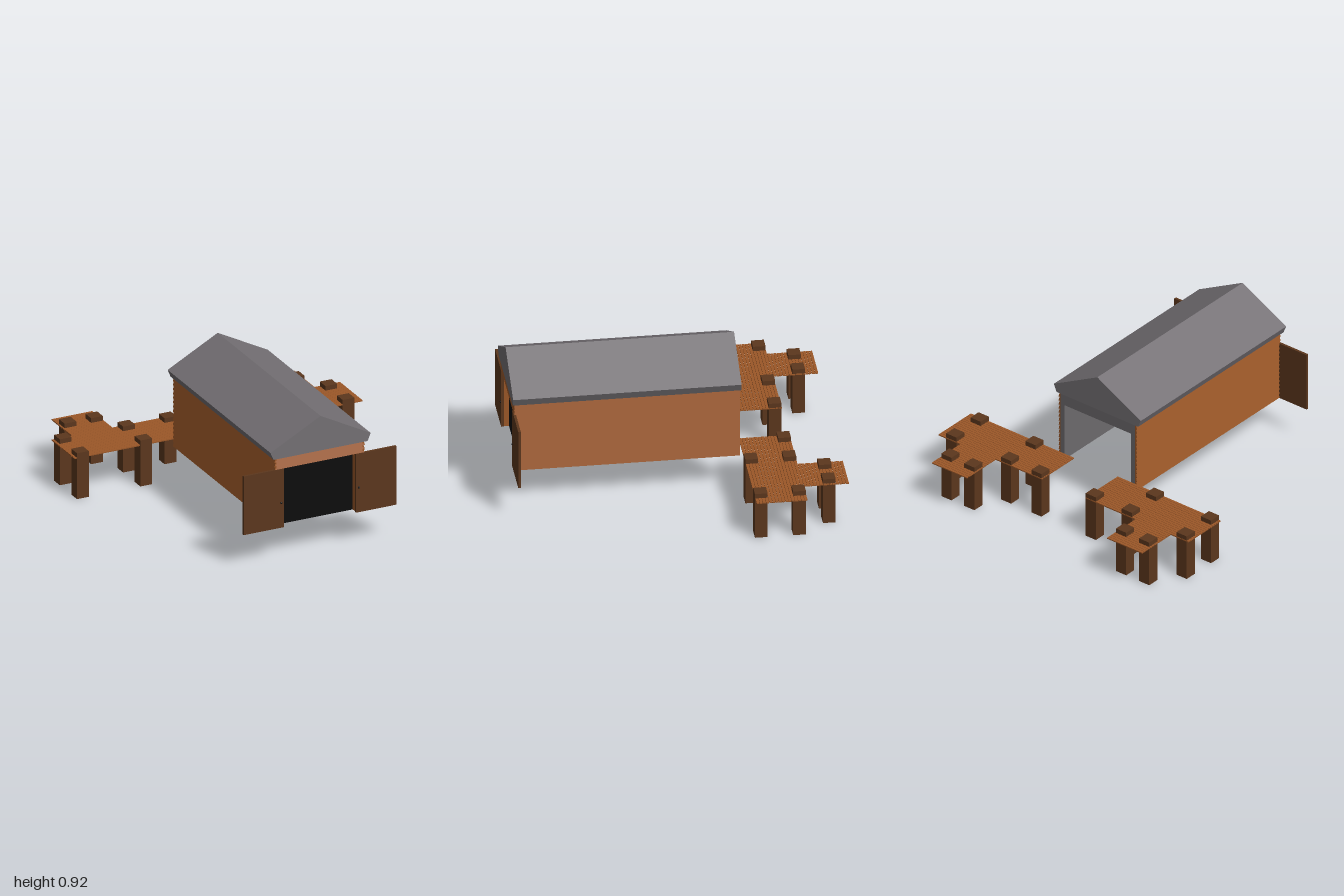
import * as THREE from 'three';

const mat = (color) => new THREE.MeshStandardMaterial({ color, flatShading: true });
const plankWood = mat(0x9c5828);
const darkWood = mat(0x5c371d);
const roofGrey = mat(0x747074);
const innerGrey = mat(0x6c6a6c);
const black = mat(0x0b0b0b);

// Box given by its minimum and maximum corners
function box(name, material, x0, x1, y0, y1, z0, z1) {
  const mesh = new THREE.Mesh(new THREE.BoxGeometry(x1 - x0, y1 - y0, z1 - z0), material);
  mesh.name = name;
  mesh.position.set((x0 + x1) / 2, (y0 + y1) / 2, (z0 + z1) / 2);
  return mesh;
}

function extrude(name, material, points, depth) {
  const shape = new THREE.Shape(points.map(([x, y]) => new THREE.Vector2(x, y)));
  const geometry = new THREE.ExtrudeGeometry(shape, { depth, bevelEnabled: false });
  const mesh = new THREE.Mesh(geometry, material);
  mesh.name = name;
  return mesh;
}

// Overlapping boards: a saw-tooth profile, thickest at each lower edge
function clapboards(name, y0, y1, count, length) {
  const points = [[0, y0]];
  const step = (y1 - y0) / count;
  for (let i = 0; i < count; i++) {
    points.push([0.015, y0 + i * step], [0.007, y0 + (i + 1) * step]);
  }
  points.push([0, y1]);
  return extrude(name, plankWood, points, length);
}

function buildHouse() {
  const house = new THREE.Group();
  house.name = 'boathouse';
  const cx = -0.011, back = -0.40, front = 0.975, base = 0.228, lintel = 0.615, eave = 0.69;

  // Side walls with boards outside and plain lining inside
  for (const s of [-1, 1]) {
    const side = new THREE.Group();
    side.name = s > 0 ? 'leftWall' : 'rightWall';
    const a = cx + s * 0.293, b = cx + s * 0.26;
    side.add(box('wallLining', innerGrey, Math.min(a, b), Math.max(a, b), base, eave, back, front));
    const boards = clapboards('sideBoards', base, eave, 16, front + 0.012 - back);
    if (s > 0) {
      boards.position.set(a, 0, back);
    } else {
      boards.rotation.y = Math.PI;
      boards.position.set(a, 0, front + 0.012);
    }
    side.add(boards);

    // Front wall beside the doorway
    const c = cx + s * 0.246;
    side.add(box('doorJamb', plankWood, Math.min(a, c), Math.max(a, c), base, lintel, 0.945, 0.976));
    house.add(side);
  }

  // Boarded panel above the doorway
  const header = clapboards('frontBoards', lintel, eave, 3, 0.6);
  header.rotation.y = -Math.PI / 2;
  header.position.set(cx + 0.3, 0, front);
  house.add(header);

  // Ceiling slab and dark screen closing the doorway
  house.add(box('ceiling', innerGrey, cx - 0.293, cx + 0.293, lintel, eave, back, front));
  house.add(box('doorwayScreen', black, cx - 0.262, cx + 0.262, base, lintel, 0.935, 0.945));

  // Gabled roof with turned-in eaves
  const roof = extrude('roof', roofGrey, [
    [cx - 0.32, eave], [cx + 0.32, eave], [cx + 0.341, 0.74], [cx, 0.92], [cx - 0.341, 0.74],
  ], 1.405);
  roof.position.z = -0.405;
  house.add(roof);

  // Open double doors lying flat against the front, with knobs
  for (const s of [-1, 1]) {
    const door = new THREE.Group();
    door.name = s > 0 ? 'leftDoor' : 'rightDoor';
    const inner = cx + s * 0.246, outer = cx + s * 0.519;
    door.add(box('doorPanel', darkWood, Math.min(inner, outer), Math.max(inner, outer), 0.225, lintel, 0.977, 0.993));
    const knob = new THREE.Mesh(new THREE.SphereGeometry(0.007, 10, 8), black);
    knob.name = 'doorKnob';
    knob.position.set(cx + s * 0.264, 0.39, 0.993);
    door.add(knob);
    house.add(door);
  }
  return house;
}

// Deck of narrow slats running across x
function buildDeck(name, x0, x1, z0, z1) {
  const deck = new THREE.Group();
  deck.name = name;
  const count = Math.round((z1 - z0) / 0.02);
  const step = (z1 - z0) / count;
  for (let i = 0; i < count; i++) {
    const z = z0 + i * step;
    deck.add(box('slat', plankWood, x0, x1, 0.268, 0.275, z + 0.001, z + step - 0.001));
  }
  return deck;
}

function buildDock(name, main, spur, postPositions) {
  const dock = new THREE.Group();
  dock.name = name;
  dock.add(buildDeck('mainDeck', main[0], main[1], -0.722, -0.408));
  dock.add(buildDeck('spurDeck', spur[0], spur[1], -1.0, -0.722));
  for (const [x, z] of postPositions) {
    dock.add(box('post', darkWood, x - 0.04, x + 0.04, 0, 0.305, z - 0.039, z + 0.039));
  }
  return dock;
}

export function createModel() {
  const model = new THREE.Group();
  model.name = 'boathouseWithDocks';
  model.add(buildHouse());
  model.add(buildDock('rightDock', [-0.983, -0.174], [-0.845, -0.57], [
    [-0.928, -0.68], [-0.497, -0.68], [-0.215, -0.68],
    [-0.928, -0.445], [-0.497, -0.445], [-0.796, -0.88], [-0.615, -0.88],
  ]));
  model.add(buildDock('leftDock', [0.168, 0.978], [0.53, 0.805], [
    [0.212, -0.68], [0.45, -0.68], [0.88, -0.68],
    [0.45, -0.445], [0.88, -0.445], [0.576, -0.88], [0.756, -0.88],
  ]));
  return model;
}
